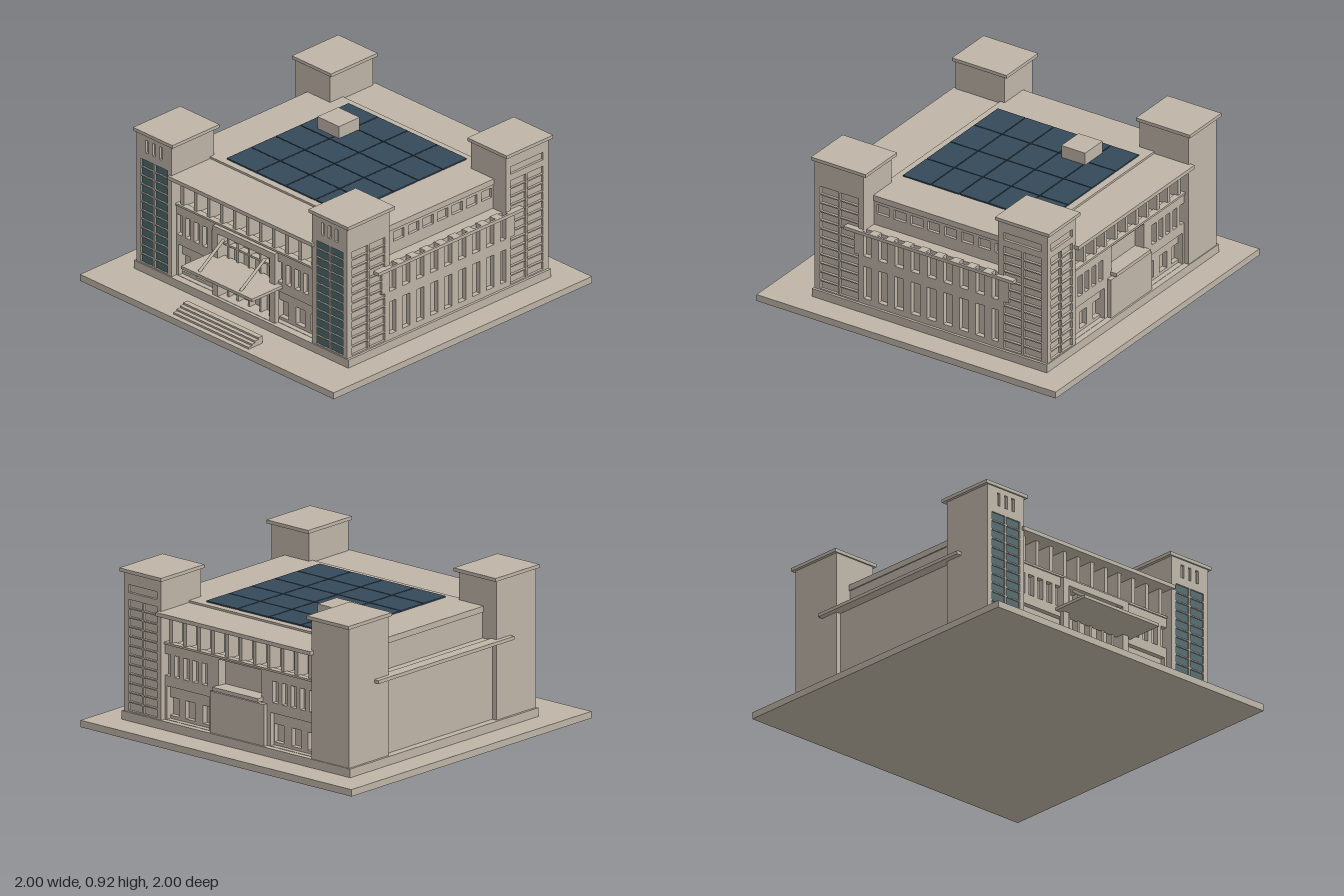
import * as THREE from 'three';

const mat = (name, color) => {
  const m = new THREE.MeshStandardMaterial({ color });
  m.name = name;
  return m;
};

export function createModel() {
  const stone = mat('stone', 0xbeb5a7);
  const glass = mat('teal glass', 0x4c676b);
  const solar = mat('solar blue', 0x344959);
  const root = new THREE.Group();
  root.name = 'building';

  // Box given by its limits on each axis
  const box = (name, x0, x1, y0, y1, z0, z1, m = stone, parent = root) => {
    const mesh = new THREE.Mesh(new THREE.BoxGeometry(x1 - x0, y1 - y0, z1 - z0), m);
    mesh.position.set((x0 + x1) / 2, (y0 + y1) / 2, (z0 + z1) / 2);
    mesh.name = name;
    parent.add(mesh);
    return mesh;
  };
  // Wall slab with rectangular holes [u0, u1, y0, y1]; outer face at distance d
  const facade = (name, parent, u0, u1, y0, y1, d, depth, holes = []) => {
    const rect = (S, a, b, c, e) => {
      const s = new S();
      s.moveTo(a, c); s.lineTo(b, c); s.lineTo(b, e); s.lineTo(a, e); s.closePath();
      return s;
    };
    const shape = rect(THREE.Shape, u0, u1, y0, y1);
    holes.forEach(h => shape.holes.push(rect(THREE.Path, ...h)));
    const geo = new THREE.ExtrudeGeometry(shape, { depth, bevelEnabled: false });
    const mesh = new THREE.Mesh(geo, stone);
    mesh.position.z = d - depth;
    mesh.name = name;
    parent.add(mesh);
  };
  // Groups turned so that local z points out of each side of the building
  const side = (name, angle) => {
    const g = new THREE.Group();
    g.name = name;
    g.rotation.y = angle;
    root.add(g);
    return g;
  };
  const front = side('frontSide', 0), back = side('backSide', Math.PI);
  const right = side('windowedSide', Math.PI / 2), left = side('plainSide', -Math.PI / 2);

  // Ground slab, plinth and cores
  box('groundSlab', -1, 1, 0, 0.04, -1, 1);
  box('plinth', -0.845, 0.845, 0.04, 0.09, -0.835, 0.735);
  box('lowerCore', -0.8, 0.8, 0.09, 0.53, -0.74, 0.63);
  box('upperCore', -0.71, 0.71, 0.53, 0.7, -0.71, 0.6);

  // Roof with cornices and rooftop equipment
  box('mainRoof', -0.57, 0.57, 0.695, 0.718, -0.86, 0.745);
  box('roofWing', -0.735, 0.735, 0.695, 0.73, -0.5, 0.4);
  box('roofTop', -0.57, 0.57, 0.718, 0.73, -0.6, 0.43);
  for (let c = 0; c < 4; c++) for (let r = 0; r < 5; r++) {
    const x = -0.47 + c * 0.234, z = -0.56 + r * 0.19;
    box('solarPanel', x + 0.003, x + 0.231, 0.73, 0.738, z + 0.003, z + 0.187, solar);
  }
  box('roofHut', -0.37, -0.2, 0.73, 0.812, -0.38, -0.22);

  // Grid of tower windows: two columns, twelve rows
  const grid = (a, b) => {
    const out = [], mid = (a + b) / 2;
    for (let r = 0; r < 12; r++) {
      const y = 0.098 + r * 0.0541;
      out.push([a, mid - 0.006, y, y + 0.047], [mid + 0.006, b, y, y + 0.047]);
    }
    return out;
  };
  const slots = c => [-1, 0, 1].map(i => [c + i * 0.054 - 0.011, c + i * 0.054 + 0.011, 0.788, 0.866]);

  // Four corner towers
  for (const sx of [-1, 1]) for (const [z0, z1] of [[0.4, 0.73], [-0.83, -0.5]]) {
    const x0 = sx > 0 ? 0.555 : -0.83, x1 = x0 + 0.275, isFront = z0 > 0, windows = sx > 0;
    box('towerCore', x0 + 0.015, x1 - 0.015, 0.09, 0.9, z0 + 0.015, z1 - 0.015);
    box('towerCap', sx > 0 ? 0.537 : -0.847, sx > 0 ? 0.847 : -0.537, 0.897, 0.917,
      isFront ? 0.375 : -0.85, isFront ? 0.74 : -0.49);
    const cx = (x0 + x1) / 2;
    facade('towerFront', front, x0, x1, 0.07, 0.9, z1, 0.015,
      isFront ? [...grid(cx - 0.105, cx + 0.105), ...slots(cx)] : []);
    if (isFront) box('towerGlass', cx - 0.107, cx + 0.107, 0.095, 0.745, z1 - 0.015, z1 - 0.009, glass);
    facade('towerBack', back, -x1, -x0, 0.07, 0.9, -z0, 0.015, !isFront && windows
      ? [...grid(-cx - 0.105, -cx + 0.105), [-cx - 0.105, -cx + 0.105, 0.78, 0.826]] : []);
    const a = isFront ? -0.69 : 0.535, b = isFront ? -0.435 : 0.79;
    facade('towerRight', right, -z1, -z0, 0.07, 0.9, x1, 0.015, windows
      ? [...grid(a, b), ...(isFront ? [] : [[a, b, 0.78, 0.826]])] : []);
    facade('towerLeft', left, z0, z1, 0.07, 0.9, -x0, 0.015);
  }

  // Front and back walls: tall windows, lower window bays and a loggia
  const longWall = (g, d, centreHoles) => {
    const outer = [...centreHoles], inner = [];
    for (const s of [-1, 1]) {
      const hole = (list, a, b, y0, y1) => list.push(s > 0 ? [a, b, y0, y1] : [-b, -a, y0, y1]);
      for (let i = 0; i < 5; i++) hole(outer, 0.241 + i * 0.068, 0.281 + i * 0.068, 0.345, 0.47);
      hole(outer, 0.225, 0.54, 0.092, 0.285);
      for (const x of [0.228, 0.358, 0.475]) hole(inner, x, x + 0.07, 0.11, 0.215);
    }
    facade('wall', g, -0.57, 0.57, 0.07, 0.53, d, 0.03, outer);
    facade('bayWall', g, -0.57, 0.57, 0.07, 0.53, d - 0.03, 0.03, [...centreHoles, ...inner]);
    for (let i = -5; i <= 5; i++) {
      const u = i * 0.103;
      box('loggiaFin', u - 0.012, u + 0.012, 0.53, 0.696, d - 0.1, d - 0.005, stone, g);
    }
    box('loggiaSill', -0.56, 0.56, 0.525, 0.537, d - 0.03, d + 0.008, stone, g);
  };
  longWall(front, 0.69, [[-0.205, 0.205, 0.092, 0.48]]);
  longWall(back, 0.8, [[-0.16, 0.16, 0.36, 0.515]]);

  // Back annex and balcony
  box('backAnnex', -0.2, 0.2, 0.09, 0.33, 0.78, 0.825, stone, back);
  box('backBalcony', -0.17, 0.17, 0.34, 0.362, 0.76, 0.84, stone, back);

  // Entrance portal, mullions, canopy, struts and steps
  facade('portalFrame', front, -0.245, 0.245, 0.07, 0.52, 0.715, 0.03, [[-0.205, 0.205, 0.092, 0.48]]);
  for (const x of [-0.165, -0.09, 0, 0.09, 0.165])
    box('mullion', x - 0.007, x + 0.007, 0.09, 0.48, 0.63, 0.675);
  for (const y of [0.22, 0.4]) box('transom', -0.205, 0.205, y, y + 0.012, 0.63, 0.67);
  box('canopy', -0.28, 0.28, 0.312, 0.33, 0.66, 0.925);
  for (const x of [-0.163, 0.163]) {
    const a = new THREE.Vector3(x, 0.46, 0.71), b = new THREE.Vector3(x, 0.328, 0.9);
    const dir = b.clone().sub(a);
    const strut = new THREE.Mesh(new THREE.CylinderGeometry(0.009, 0.009, dir.length(), 10), stone);
    strut.position.copy(a).add(b).multiplyScalar(0.5);
    strut.quaternion.setFromUnitVectors(new THREE.Vector3(0, 1, 0), dir.normalize());
    strut.name = 'canopyStrut';
    root.add(strut);
  }
  for (let i = 0; i < 4; i++)
    box('step', -0.297, 0.297, 0.04, 0.052 + i * 0.011, 0.86, 0.968 - i * 0.025);

  // Windowed side: lower windows, piers and notched ledge
  const lower = [], clerestory = [];
  for (let i = 0; i < 9; i++) lower.push([-0.41 + i * 0.1085, -0.35 + i * 0.1085, 0.125, 0.325]);
  for (let i = 0; i < 8; i++) clerestory.push([-0.381 + i * 0.113, -0.3 + i * 0.113, 0.617, 0.675]);
  facade('sideWall', right, -0.42, 0.52, 0.07, 0.39, 0.83, 0.03, lower);
  for (let i = 0; i <= 9; i++) {
    const u = -0.434 + i * 0.1085;
    box('sidePier', u - 0.026, u + 0.026, 0.39, 0.55, 0.795, 0.83, stone, right);
    box('ledgeTooth', u - 0.026, u + 0.026, 0.535, 0.553, 0.8, 0.85, stone, right);
  }
  box('ledge', -0.515, 0.617, 0.535, 0.555, 0.845, 0.858, stone, right);
  for (const [a, b] of [[-0.515, -0.4], [0.5, 0.617]])
    box('ledgeEnd', a, b, 0.535, 0.555, 0.82, 0.85, stone, right);
  facade('clerestoryWall', right, -0.41, 0.51, 0.53, 0.7, 0.728, 0.02, clerestory);

  // Plain side: recessed wall under a long ledge
  box('ledge', -0.617, 0.515, 0.535, 0.555, 0.79, 0.86, stone, left);
  facade('clerestoryWall', left, -0.51, 0.41, 0.53, 0.7, 0.728, 0.02);
  box('terrace', -0.8, 0.8, 0.525, 0.545, -0.5, 0.4);

  return root;
}
